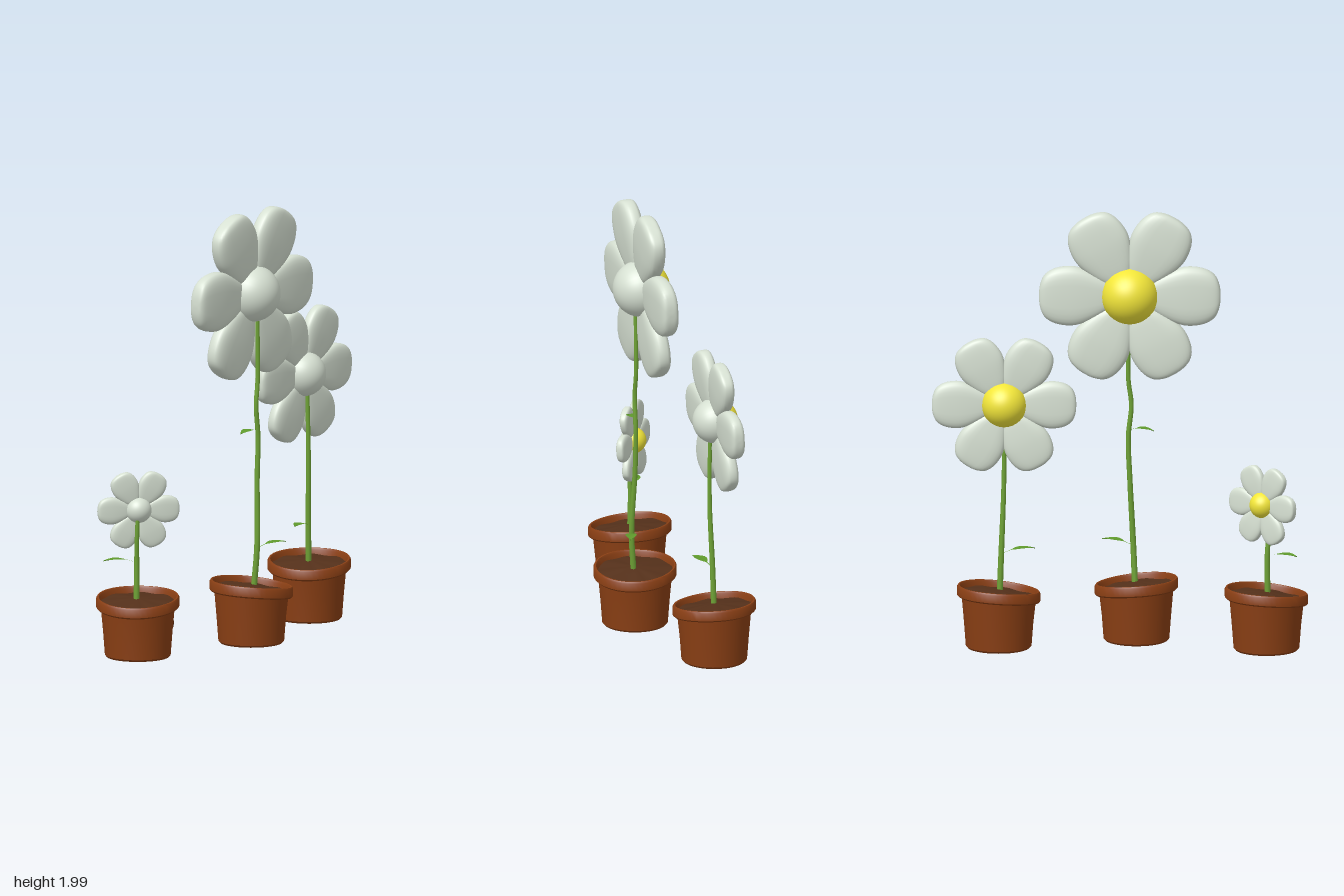
import * as THREE from 'three';
import { mergeVertices, toCreasedNormals } from 'three/addons/utils/BufferGeometryUtils.js';

const mat = (color, side = THREE.FrontSide) => new THREE.MeshStandardMaterial({ color, side });
const clay = mat(0x8a3f14);
const darkClay = mat(0x4a2009);
const soilMat = mat(0x54301a);
const green = mat(0x6fa336);
const leafGreen = mat(0x5f9a2c, THREE.DoubleSide);
const white = mat(0xd6e0d2);
const yellow = mat(0xf2e63a);

const V = (a) => new THREE.Vector3(...a);

function mesh(name, geometry, material) {
  const m = new THREE.Mesh(geometry, material);
  m.name = name;
  return m;
}

// Move every vertex of a geometry by a rule
function bend(geometry, rule) {
  const p = geometry.attributes.position;
  const v = new THREE.Vector3();
  for (let i = 0; i < p.count; i++) {
    rule(v.fromBufferAttribute(p, i));
    p.setXYZ(i, v.x, v.y, v.z);
  }
  return geometry;
}

// Weld and recompute normals so the surface shades smoothly across its seam
function smooth(geometry) {
  geometry.deleteAttribute('uv');
  geometry.deleteAttribute('normal');
  const g = mergeVertices(geometry, 1e-5);
  g.computeVertexNormals();
  return g;
}

const lathe = (pts, segments = 40) =>
  new THREE.LatheGeometry(pts.map(([r, y]) => new THREE.Vector2(r, y)), segments);

// Puffy petal along +y: outline from a curve, squarish cross-section
function petalGeometry() {
  const outline = new THREE.SplineCurve(
    [[0, 0], [0.065, 0.1], [0.097, 0.15], [0.127, 0.217], [0.137, 0.275], [0.127, 0.34],
      [0.098, 0.387], [0.05, 0.409], [0, 0.414]].map(([r, y]) => new THREE.Vector2(r, y)));
  const pts = outline.getPoints(32).map((p) => [Math.max(p.x, 0), p.y]);
  const square = (n) => Math.sign(n) * Math.abs(n) ** 0.65;
  return smooth(bend(lathe(pts, 28), (v) => {
    const r = Math.hypot(v.x, v.z);
    if (r < 1e-5) return;
    const thick = 0.048 * Math.sqrt(r / 0.137);
    v.set(r * square(v.x / r), v.y, thick * square(v.z / r));
  }));
}

// Flower head facing local +z
function flowerHead(petal) {
  const head = new THREE.Group();
  head.name = 'flowerHead';
  for (let i = 0; i < 6; i++) {
    const p = mesh('petal', petal, white);
    p.rotation.z = Math.PI / 6 + (i * Math.PI) / 3;
    head.add(p);
  }
  const half = new THREE.SphereGeometry(0.131, 32, 16, 0, Math.PI * 2, 0, Math.PI / 2);
  const centre = mesh('flowerCentre', half, yellow);
  centre.rotation.x = Math.PI / 2;
  const back = mesh('flowerBack', half, white);
  back.rotation.x = -Math.PI / 2;
  head.add(centre, back);
  return head;
}

// Pot whose lip sags toward one side, filled with soil
function pot(dipAngle) {
  const g = new THREE.Group();
  g.name = 'pot';
  const sag = (v) => {
    const around = (1 + Math.cos(Math.atan2(v.z, v.x) - dipAngle)) / 2;
    const k = THREE.MathUtils.smoothstep(v.y, 0.12, 0.24);
    v.y -= 0.037 * around ** 1.5 * k * Math.min(1, Math.hypot(v.x, v.z) / 0.15);
  };
  const wall = lathe([[0, 0.012], [0.138, 0.012], [0.142, 0.005], [0.15, 0.014], [0.158, 0.12], [0.169, 0.25],
    [0.183, 0.246], [0.19, 0.253], [0.19, 0.289], [0.185, 0.297], [0.178, 0.297],
    [0.173, 0.288], [0.169, 0.25]], 48);
  g.add(mesh('potWall', toCreasedNormals(bend(wall, sag), 0.6), clay));
  const soil = lathe([[0.174, 0.268], [0.13, 0.272], [0.07, 0.274], [0, 0.276]], 48);
  bend(soil, (v) => {
    sag(v);
    v.y += 0.003 * Math.sin(8 * Math.atan2(v.z, v.x)) * Math.hypot(v.x, v.z) / 0.17;
  });
  g.add(mesh('soil', smooth(soil), soilMat));
  return g;
}

// Tapering stem along a smooth path
function stem(points, r0, r1) {
  const n = 40;
  const sides = 8;
  const curve = new THREE.CatmullRomCurve3(points.map(V));
  const tube = new THREE.TubeGeometry(curve, n, 1, sides, false);
  const p = tube.attributes.position;
  for (let i = 0; i < p.count; i++) {
    const t = Math.floor(i / (sides + 1)) / n;
    const c = curve.getPointAt(t);
    const v = new THREE.Vector3().fromBufferAttribute(p, i).sub(c);
    v.multiplyScalar(r0 + (r1 - r0) * t).add(c);
    p.setXYZ(i, v.x, v.y, v.z);
  }
  return mesh('stem', tube, green);
}

// Leaf: thin stalk widening into a flat blade that arches from base to tip
function leaf(from, to) {
  const a = V(from);
  const d = V(to).sub(a);
  const side = new THREE.Vector3(-d.z, 0, d.x).normalize();
  const blade = new THREE.PlaneGeometry(1, 1, 16, 4);
  bend(blade, (v) => {
    const t = v.x + 0.5;
    const s = v.y * 2;
    const u = Math.max(0, (t - 0.3) / 0.7);
    const w = 0.003 * (1 - t) + 0.025 * Math.sin(Math.PI * u ** 0.8);
    const lift = 0.014 * Math.sin(Math.PI * t) + 0.004 * s * s * u;
    v.copy(a).addScaledVector(d, t).addScaledVector(side, s * w);
    v.y += lift;
  });
  blade.computeVertexNormals();
  return mesh('leaf', blade, leafGreen);
}

const plants = [
  { name: 'tallPlant', pot: [-0.075, 0.09], dip: 0.5, size: 1, head: [-0.045, 1.615, 0.07], turn: Math.PI,
    stem: [[-0.068, 0.26, 0.1], [-0.06, 0.45, 0.112], [-0.045, 0.75, 0.1], [-0.038, 0.95, 0.1],
      [-0.052, 1.1, 0.1], [-0.038, 1.22, 0.098], [-0.043, 1.56, 0.1]],
    leaves: [[[-0.058, 0.44, 0.11], [0.082, 0.455, 0.168]], [[-0.04, 0.98, 0.1], [-0.155, 0.977, 0.09]]] },
  { name: 'middlePlant', pot: [0.55, -0.07], dip: 2.6, size: 0.795, head: [0.525, 1.14, -0.084], turn: Math.PI,
    stem: [[0.545, 0.26, -0.07], [0.538, 0.45, -0.066], [0.527, 0.75, -0.056], [0.523, 1.1, -0.06]],
    leaves: [[[0.536, 0.44, -0.066], [0.385, 0.455, -0.025]]] },
  { name: 'smallPlant', pot: [-0.67, -0.097], dip: 2.6, size: 0.46, head: [-0.653, 0.68, -0.107], turn: 2.46,
    stem: [[-0.675, 0.26, -0.1], [-0.674, 0.45, -0.1], [-0.682, 0.56, -0.092], [-0.682, 0.665, -0.088]],
    leaves: [[[-0.675, 0.44, -0.1], [-0.81, 0.455, -0.185]]] },
];

export function createModel() {
  const model = new THREE.Group();
  model.name = 'pottedFlowers';
  const petal = petalGeometry();
  for (const p of plants) {
    const plant = new THREE.Group();
    plant.name = p.name;
    const base = pot(p.dip);
    base.position.set(p.pot[0], 0, p.pot[1]);
    const head = flowerHead(petal);
    head.scale.setScalar(p.size);
    head.rotation.set(-0.05, p.turn, 0, 'YXZ');
    head.position.set(...p.head);
    plant.add(base, head, stem(p.stem, 0.014, 0.009));
    for (const [from, to] of p.leaves) plant.add(leaf(from, to));
    // Round mark on the side of the small pot
    if (p.name === 'smallPlant') {
      for (const r of [0.024, 0.01]) {
        const ring = mesh('potMark', new THREE.TorusGeometry(r, 0.004, 8, 24), darkClay);
        ring.position.set(0.133, 0.15, 0.09);
        ring.rotation.set(0.08, Math.atan2(0.133, 0.09), 0, 'YXZ');
        base.add(ring);
      }
    }
    model.add(plant);
  }
  return model;
}
